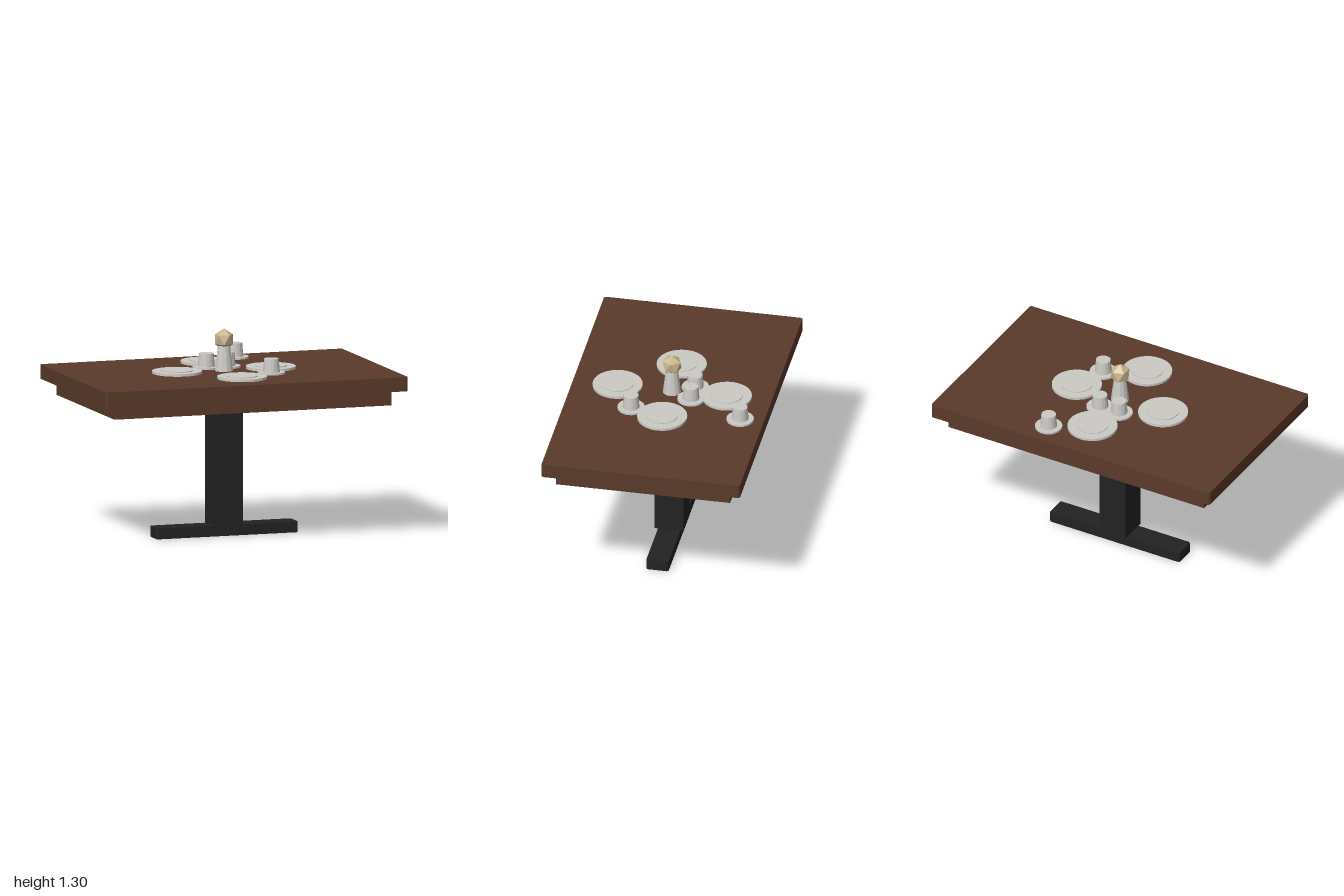
import * as THREE from 'three';

const material = (name, color, flatShading = false) => {
  const m = new THREE.MeshStandardMaterial({ color, flatShading });
  m.name = name;
  return m;
};

export function createModel() {
  const model = new THREE.Group();
  model.name = 'diningTable';
  const wood = material('darkWood', 0x5a3a2b);
  const black = material('blackMetal', 0x222222);
  const china = material('china', 0xcccac5, true);
  const tan = material('driedFlower', 0xc9b68f, true);

  const add = (name, geometry, mat, x, y, z, parent = model) => {
    const mesh = new THREE.Mesh(geometry, mat);
    mesh.name = name;
    mesh.position.set(x, y, z);
    parent.add(mesh);
    return mesh;
  };

  // Slab resting on y = 0 with small chamfers on its vertical corners
  const slab = (w, h, d, c = 0.01) => {
    const x = w / 2, z = d / 2;
    const outline = [[x - c, -z], [x, c - z], [x, z - c], [x - c, z],
      [c - x, z], [-x, z - c], [-x, c - z], [c - x, -z]];
    const shape = new THREE.Shape(outline.map(([a, b]) => new THREE.Vector2(a, b)));
    return new THREE.ExtrudeGeometry(shape, { depth: h, bevelEnabled: false }).rotateX(-Math.PI / 2);
  };

  // Upright cylinder or cone resting on y = 0
  const drum = (top, bottom, h, sides) =>
    new THREE.CylinderGeometry(top, bottom, h, sides).translate(0, h / 2, 0);

  // Table
  const deck = 1.035;
  add('tableTop', slab(2, 0.09, 1.266), wood, 0, 0.945, 0);
  add('apron', new THREE.BoxGeometry(1.836, 0.097, 1.11), wood, 0, 0.8975, 0);
  add('column', new THREE.BoxGeometry(0.186, 0.782, 0.186), black, 0, 0.459, 0);
  add('foot', slab(0.934, 0.068, 0.142), black, 0, 0, 0);

  // Four plates, each with a raised centre
  for (const [x, z] of [[0.31, 0], [-0.31, 0], [0, 0.347], [0, -0.35]]) {
    const plate = new THREE.Group();
    plate.name = 'plate';
    plate.position.set(x, deck, z);
    model.add(plate);
    add('plateRim', drum(0.157, 0.157, 0.016, 32), china, 0, 0, 0, plate);
    add('plateCentre', drum(0.1, 0.1, 0.005, 32), china, 0, 0.016, 0, plate);
  }

  // Four cups on saucers
  for (const [x, z] of [[0.24, 0.213], [0.24, -0.483], [0.067, -0.135], [-0.07, -0.135]]) {
    const cup = new THREE.Group();
    cup.name = 'cupAndSaucer';
    cup.position.set(x, deck, z);
    model.add(cup);
    add('saucer', drum(0.086, 0.086, 0.012, 24), china, 0, 0, 0, cup);
    add('cup', drum(0.046, 0.053, 0.084, 16), china, 0, 0.012, 0, cup);
  }

  // Vase with a faceted flower head, turned so one corner points up
  add('vase', drum(0.038, 0.058, 0.165, 12), china, 0, deck, 0);
  const head = new THREE.IcosahedronGeometry(0.067, 0).rotateZ(-0.5536);
  add('flowerHead', head, tan, 0, 1.234, 0);

  return model;
}
